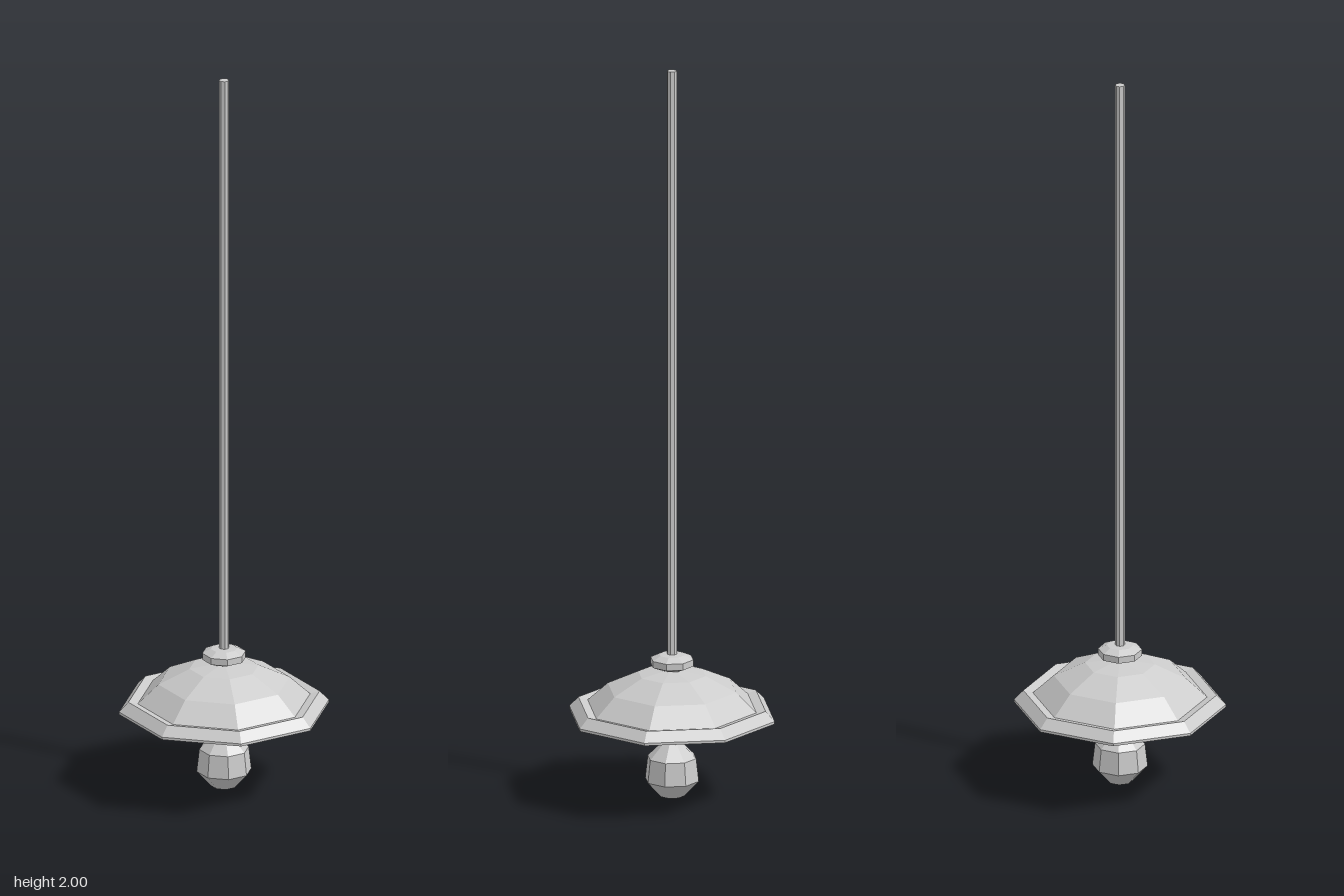
import * as THREE from 'three';

const SIDES = 8;
const material = new THREE.MeshStandardMaterial({
  color: 0xcccccc, flatShading: true, side: THREE.DoubleSide,
});

// Faceted turned part from [radius, height] pairs, listed bottom to top on the outside
function turned(name, profile) {
  const points = profile.map(([r, y]) => new THREE.Vector2(r, y));
  const mesh = new THREE.Mesh(new THREE.LatheGeometry(points, SIDES), material);
  mesh.name = name;
  return mesh;
}

export function createModel() {
  const lamp = new THREE.Group();
  lamp.name = 'pendantLamp';

  // Long hanging rod
  lamp.add(turned('rod', [[0, 0.38], [0.013, 0.38], [0.013, 2], [0, 2]]));

  // Bevelled collar where the rod meets the shade
  lamp.add(turned('collar', [
    [0, 0.35], [0.032, 0.355], [0.058, 0.366], [0.058, 0.384], [0.035, 0.395], [0, 0.397],
  ]));

  // Thick shade: inner dome, flat underside, lip, shallow groove, outer dome
  lamp.add(turned('shade', [
    [0, 0.325], [0.09, 0.3], [0.18, 0.225],
    [0.28, 0.225], [0.28, 0.232], [0.255, 0.258], [0.23, 0.252],
    [0.175, 0.303], [0.092, 0.342], [0, 0.355],
  ]));

  // Stepped socket under the shade, tapering to the bulb
  lamp.add(turned('socket', [
    [0, 0.15], [0.021, 0.15], [0.016, 0.25], [0.027, 0.25], [0.027, 0.272],
    [0.02, 0.277], [0.027, 0.283], [0.027, 0.305], [0.018, 0.33], [0, 0.33],
  ]));

  // Pear-shaped bulb
  lamp.add(turned('bulb', [
    [0, 0.005], [0.034, 0.013], [0.073, 0.056], [0.066, 0.118], [0.026, 0.158], [0, 0.16],
  ]));

  // Rest the bulb on the ground plane
  lamp.children.find((part) => part.name === 'bulb').position.y = -0.005;
  return lamp;
}
